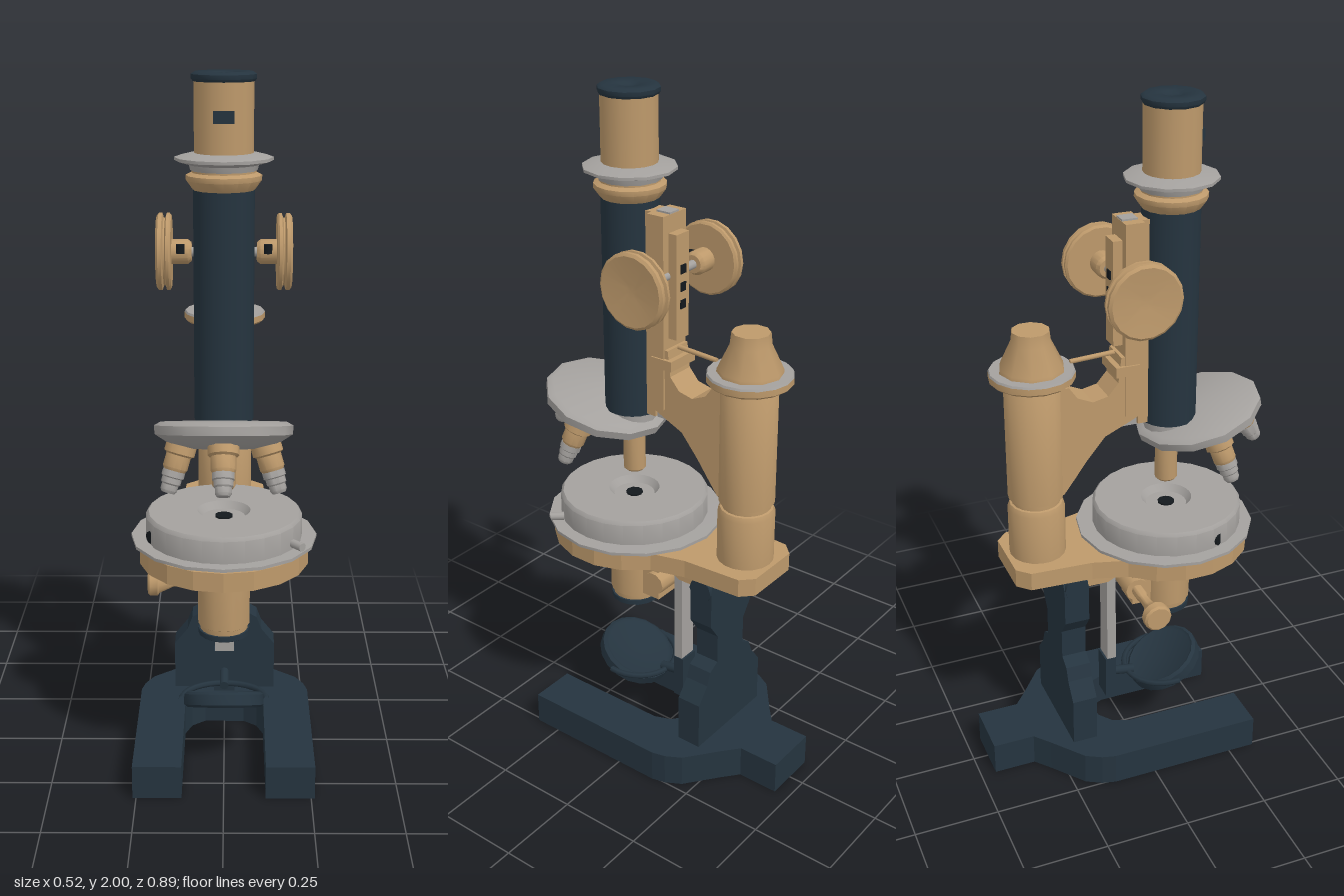
import * as THREE from 'three';
import { toCreasedNormals } from 'three/addons/utils/BufferGeometryUtils.js';

const mat = (name, color) => {
  const m = new THREE.MeshStandardMaterial({ color });
  m.name = name;
  return m;
};

export function createModel() {
  const model = new THREE.Group();
  model.name = 'microscope';
  const dark = mat('dark enamel', 0x25343f);
  const brass = mat('brass', 0xbd996b);
  const steel = mat('steel', 0xa4a19e);
  const black = mat('black', 0x14191d);
  const glass = mat('glass', 0x40586a);

  const add = (name, geo, material, x = 0, y = 0, z = 0, parent = model) => {
    const m = new THREE.Mesh(geo, material);
    m.name = name;
    m.position.set(x, y, z);
    parent.add(m);
    return m;
  };
  const box = (name, w, h, d, material, x, y, z, parent) =>
    add(name, new THREE.BoxGeometry(w, h, d), material, x, y, z, parent);
  // Turned part: profile of [radius, height], listed bottom to top
  const turned = (pts, sides = 16) => toCreasedNormals(
    new THREE.LatheGeometry(pts.map(([r, y]) => new THREE.Vector2(r, y)), sides), 0.7);
  const shapeOf = pts => new THREE.Shape(pts.map(([x, y]) => new THREE.Vector2(x, y)));
  const extrude = (pts, depth) =>
    new THREE.ExtrudeGeometry(shapeOf(pts), { depth, bevelEnabled: false });
  // Plate drawn in plan as [x, z], rising by h
  const plan = (pts, h) => extrude(pts.map(([x, z]) => [x, -z]), h).rotateX(-Math.PI / 2);
  // Slab drawn from the side as [z, y], centred on x
  const side = (pts, w) => extrude(pts, w).translate(0, 0, -w / 2).rotateY(-Math.PI / 2);
  // Right half outline continued with its mirror image
  const mirrored = half => [...half, ...half.slice().reverse().map(([x, y]) => [-x, y])];
  // Rod between two points
  const rod = (name, a, b, r, material, parent) => {
    const p = new THREE.Vector3(...a), q = new THREE.Vector3(...b);
    const m = add(name, new THREE.CylinderGeometry(r, r, p.distanceTo(q), 10), material, 0, 0, 0, parent);
    m.position.copy(p).add(q).multiplyScalar(0.5);
    m.quaternion.setFromUnitVectors(new THREE.Vector3(0, 1, 0), q.sub(p).normalize());
    return m;
  };

  const AXIS = 0.135;   // z of the optical axis
  const COL = -0.27;    // z of the rear column

  // Horseshoe base and felt pads
  add('base', plan(mirrored([
    [0.083, -0.455], [0.083, -0.33], [0.13, -0.29], [0.225, -0.215], [0.25, -0.17], [0.26, -0.13],
    [0.26, 0.33], [0.12, 0.33], [0.12, -0.03], [0.1, -0.08], [0.06, -0.11]]), 0.1), dark);
  for (const s of [1, -1]) {
    box('basePad', 0.09, 0.004, 0.12, steel, s * 0.19, 0.001, 0.24);
    box('basePad', 0.09, 0.004, 0.1, steel, s * 0.17, 0.001, -0.07);
  }
  box('basePad', 0.1, 0.004, 0.1, steel, 0, 0.001, -0.37);

  // Pillar with its tilting joint
  add('pillar', extrude(mirrored([
    [0.155, 0.1], [0.155, 0.25], [0.115, 0.3], [0.1, 0.34], [0.065, 0.36], [0.065, 0.45],
    [0.1, 0.5], [0.1, 0.61], [0.085, 0.64], [0.05, 0.65]]), 0.075), dark, 0, 0, -0.225);
  rod('tiltJoint', [-0.105, 0.615, -0.187], [0.105, 0.615, -0.187], 0.037, dark);
  add('jointBracket', side([[-0.03, 0.66], [-0.03, 0.6], [-0.07, 0.58], [-0.15, 0.58], [-0.23, 0.64], [-0.23, 0.66]], 0.1), brass);

  // Stage plate: round front, tail reaching the column
  const stagePts = [[-0.13, -0.15], [-0.12, -0.33], [-0.085, -0.365], [0.085, -0.365], [0.12, -0.33], [0.13, -0.15]];
  for (let i = 0; i <= 14; i++) {
    const a = -0.85 + (i / 14) * (Math.PI + 1.7);
    stagePts.push([0.24 * Math.cos(a), AXIS + 0.245 * Math.sin(a)]);
  }
  add('stagePlate', plan(stagePts, 0.055), brass, 0, 0.66, 0);
  add('stageRing', turned([[0, 0.714], [0.235, 0.714], [0.262, 0.722], [0.262, 0.731], [0, 0.736]], 16), steel, 0, 0, 0.128);
  add('stageDrum', turned([[0.22, 0.73], [0.22, 0.795], [0.212, 0.805], [0.075, 0.805], [0.06, 0.785], [0, 0.785]], 24), steel, 0, 0, AXIS);
  add('stageOpening', new THREE.CylinderGeometry(0.025, 0.025, 0.006, 10), black, 0, 0.787, AXIS);
  rod('stageScrew', [-0.175, 0.752, 0.19], [-0.205, 0.752, 0.215], 0.018, black);
  rod('stageScrew', [0.19, 0.75, 0.25], [0.215, 0.75, 0.28], 0.012, steel);

  // Rear column with flange and conical cap
  add('column', turned([[0, 0.7], [0.082, 0.7], [0.082, 0.865], [0.076, 0.88], [0.07, 0.882], [0.07, 0.895],
    [0.08, 0.9], [0.08, 1.24], [0.07, 1.255], [0.07, 1.262], [0, 1.262]], 18), brass, 0, 0, COL);
  add('columnFlange', turned([[0, 1.258], [0.11, 1.258], [0.12, 1.266], [0.12, 1.284], [0, 1.284]], 16), brass, 0, 0, COL);
  add('columnFlangeTop', turned([[0.12, 1.284], [0.117, 1.29], [0, 1.29]], 16), steel, 0, 0, COL);
  add('columnCap', turned([[0.092, 1.288], [0.09, 1.3], [0.057, 1.37], [0.053, 1.405], [0, 1.405]], 10), brass, 0, 0, COL);
  rod('pointer', [0, 1.3, -0.03], [0, 1.293, -0.16], 0.007, brass);

  // Curved arm, slide and rack
  add('arm', side([[0.04, 1.12], [0, 1.1], [-0.075, 1.066], [-0.13, 1.0], [-0.17, 0.945], [-0.2, 0.905], [-0.25, 0.905],
    [-0.25, 1.24], [-0.18, 1.235], [-0.155, 1.2], [-0.11, 1.18], [-0.065, 1.19], [-0.035, 1.225], [-0.026, 1.3], [0.04, 1.3]], 0.09), brass);
  box('slide', 0.1, 0.56, 0.055, brass, 0, 1.4, 0.012);
  box('slideCollar', 0.11, 0.03, 0.07, brass, 0, 1.26, -0.01);
  box('slideGuide', 0.06, 0.6, 0.04, brass, 0, 1.38, 0.05);
  box('rack', 0.04, 0.61, 0.045, steel, 0, 1.38, 0.008);
  box('pinionHousing', 0.055, 0.3, 0.03, brass, 0, 1.48, -0.028);
  for (let i = 0; i < 3; i++) box('housingScrew', 0.022, 0.025, 0.005, black, 0, 1.43 + i * 0.05, -0.044);

  // Coarse focus shaft and paired knobs
  rod('focusShaft', [-0.15, 1.51, -0.01], [0.15, 1.51, -0.01], 0.013, steel);
  for (const s of [1, -1]) {
    const knob = add('focusKnob', turned([[0, 0.09], [0.026, 0.09], [0.034, 0.1], [0.034, 0.145], [0.1, 0.145], [0.106, 0.15],
      [0.106, 0.158], [0.093, 0.162], [0.093, 0.166], [0.106, 0.17], [0.106, 0.18], [0.098, 0.186],
      [0.02, 0.178], [0, 0.178]], 18), brass, 0, 1.51, -0.01);
    knob.rotation.z = -s * Math.PI / 2;
    rod('knobScrew', [s * 0.12, 1.51, 0.02], [s * 0.12, 1.535, 0.02], 0.012, black);
  }

  // Body tube, collar and eyepiece
  const tube = new THREE.Group();
  tube.name = 'opticalTube';
  tube.position.z = AXIS;
  model.add(tube);
  add('bodyTube', new THREE.CylinderGeometry(0.081, 0.081, 0.63, 20), dark, 0, 1.39, 0, tube);
  add('tubeCollar', turned([[0, 1.7], [0.082, 1.7], [0.1, 1.725], [0.1, 1.738], [0.085, 1.745], [0.085, 1.765], [0, 1.765]], 16), brass, 0, 0, 0, tube);
  add('tubeFlange', turned([[0, 1.75], [0.088, 1.75], [0.092, 1.765], [0.13, 1.776], [0.13, 1.784], [0.085, 1.795], [0, 1.795]], 12), steel, 0, 0, 0, tube);
  add('eyepiece', new THREE.CylinderGeometry(0.078, 0.078, 0.19, 16), brass, 0, 1.885, 0, tube);
  add('eyepieceCap', turned([[0, 1.975], [0.08, 1.975], [0.085, 1.982], [0.085, 1.993], [0.075, 2], [0.03, 1.998], [0.022, 1.992], [0, 1.992]], 12), dark, 0, 0, 0, tube);
  box('eyepiecePlate', 0.055, 0.032, 0.008, dark, 0, 1.89, 0.077, tube);

  // Tilted revolving nosepiece with four objectives
  add('noseMount', new THREE.CylinderGeometry(0.07, 0.07, 0.07, 14), steel, 0, 1.05, AXIS);
  const nose = new THREE.Group();
  nose.name = 'nosepiece';
  nose.position.set(0, 1.07, 0.23);
  nose.rotation.x = -0.28;
  model.add(nose);
  add('noseDisc', turned([[0, -0.05], [0.09, -0.05], [0.15, -0.035], [0.186, -0.012], [0.188, 0.012], [0.17, 0.022], [0, 0.025]], 12), steel, 0, 0, 0, nose);
  for (let i = 0; i < 4; i++) {
    const turn = new THREE.Group();
    turn.name = 'objective';
    turn.rotation.y = i * Math.PI / 2;
    nose.add(turn);
    const lens = new THREE.Group();
    lens.name = 'objectiveBarrel';
    lens.position.set(0, -0.03, 0.11);
    lens.rotation.x = -0.28;
    turn.add(lens);
    const rear = i === 2;
    add('barrel', turned(rear
      ? [[0, -0.142], [0.026, -0.142], [0.033, -0.135], [0.033, -0.02], [0.038, -0.015], [0.038, 0.01]]
      : [[0, -0.085], [0.028, -0.085], [0.034, -0.075], [0.034, -0.04], [0.042, -0.035], [0.042, 0.01]], 12), brass, 0, 0, 0, lens);
    if (!rear) add('tip', turned([[0, -0.145], [0.018, -0.145], [0.023, -0.137], [0.023, -0.122], [0.027, -0.118],
      [0.027, -0.103], [0.031, -0.1], [0.031, -0.083], [0, -0.083]], 10), steel, 0, 0, 0, lens);
  }

  // Substage condenser with focusing knob
  add('condenser', turned([[0, 0.442], [0.068, 0.442], [0.07, 0.46], [0.075, 0.463], [0.075, 0.63], [0.083, 0.637], [0.083, 0.662], [0, 0.662]], 18), brass, 0, 0, AXIS);
  add('condenserRing', turned([[0, 0.425], [0.066, 0.425], [0.074, 0.43], [0.074, 0.445], [0, 0.445]], 16), dark, 0, 0, AXIS);
  add('condenserLens', new THREE.CylinderGeometry(0.035, 0.035, 0.006, 12), glass, 0, 0.424, AXIS);
  box('condenserBracket', 0.09, 0.17, 0.06, brass, 0, 0.56, 0.04);
  box('condenserSlide', 0.2, 0.02, 0.1, steel, 0, 0.648, 0.04);
  const subKnob = add('condenserKnob', turned([[0.018, 0.03], [0.018, 0.1], [0.014, 0.11], [0.016, 0.15], [0.034, 0.19],
    [0.042, 0.195], [0.042, 0.218], [0.036, 0.224], [0, 0.224]], 12), brass, 0, 0.535, 0.02);
  subKnob.rotation.z = Math.PI / 2;
  rod('knobBearing', [-0.06, 0.535, 0.02], [0.06, 0.535, 0.02], 0.036, brass);

  // Mirror hanger, fork and mirror
  box('mirrorBar', 0.058, 0.4, 0.028, steel, 0, 0.45, -0.052);
  box('mirrorBarEnd', 0.062, 0.14, 0.034, dark, 0, 0.21, -0.055);
  rod('mirrorArm', [0, 0.21, -0.04], [0, 0.198, 0.03], 0.014, dark);
  const fork = add('mirrorFork', new THREE.TorusGeometry(0.125, 0.009, 6, 16, Math.PI).rotateX(-Math.PI / 2), dark, 0, 0.21, AXIS);
  fork.rotation.x = -0.1;
  const mirror = add('mirror', turned([[0, -0.017], [0.1, -0.017], [0.108, -0.022], [0.118, -0.015], [0.118, 0.015], [0.108, 0.022], [0.1, 0.017], [0, 0.017]], 18), dark, 0, 0.21, AXIS);
  mirror.rotation.x = -0.47;

  return model;
}
